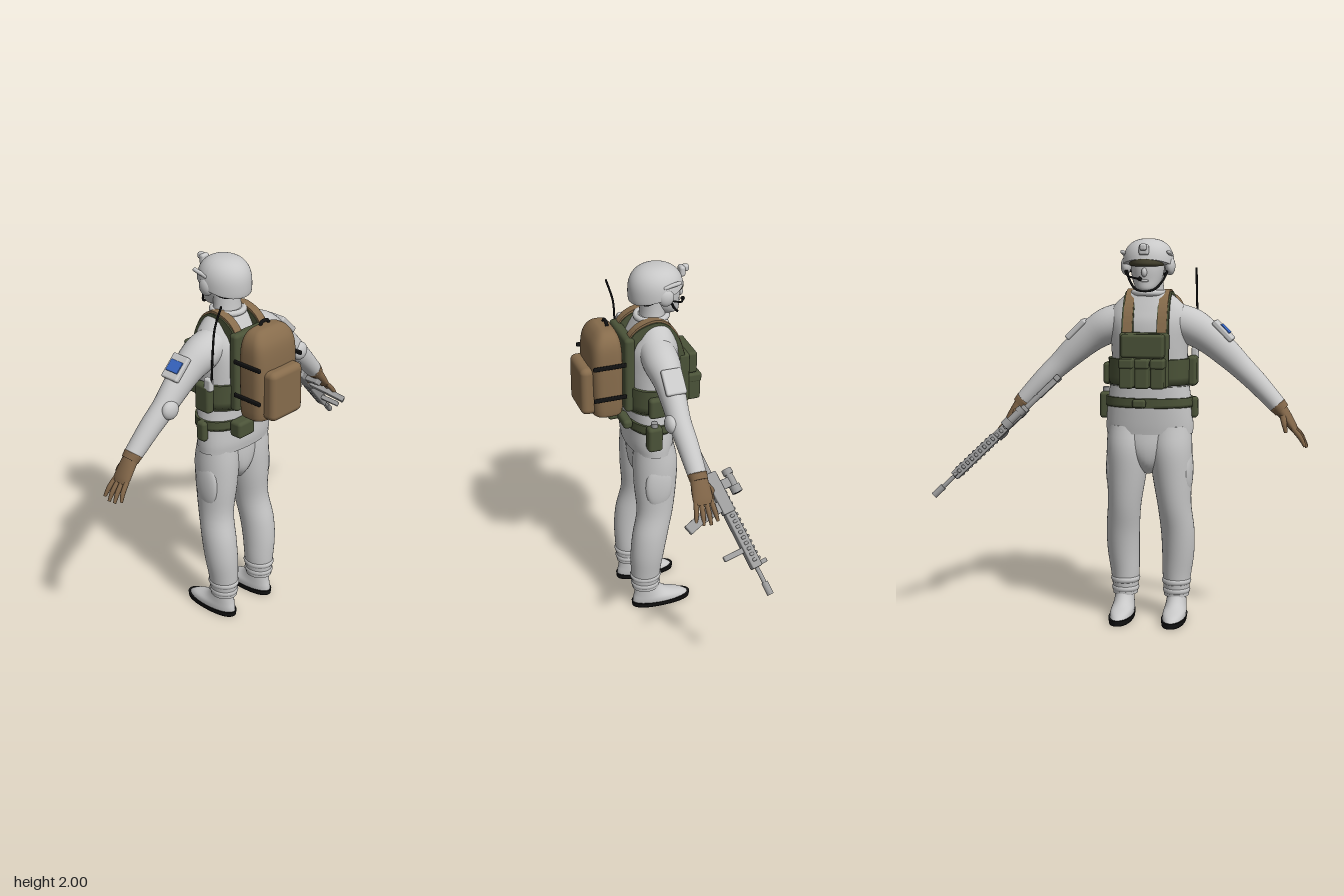
import * as THREE from 'three';
import { RoundedBoxGeometry } from 'three/addons/geometries/RoundedBoxGeometry.js';

const V = (x, y, z) => new THREE.Vector3(x, y, z);

// Smooth skin over rings [x, y, z, halfWidth, halfDepth]; power < 1 squares the section.
function loft(rings, power = 1, n = 32) {
  const centres = new THREE.CatmullRomCurve3(rings.map(r => V(r[0], r[1], r[2])), false, 'catmullrom');
  const sizes = new THREE.CatmullRomCurve3(rings.map(r => V(r[3], r[4], 0)), false, 'catmullrom');
  const steps = (rings.length - 1) * 4, list = [];
  for (let i = 0; i <= steps; i++) {
    const t = centres.getTangent(i / steps);
    const s = sizes.getPoint(i / steps);
    list.push({ c: centres.getPoint(i / steps), u: V(t.y, -t.x, 0).normalize(), a: s.x, b: s.y });
  }
  const first = list[0], last = list[steps];
  const all = [{ ...first, a: 0, b: 0 }, first, ...list, last, { ...last, a: 0, b: 0 }];
  const pos = [], index = [];
  const bend = v => Math.sign(v) * Math.pow(Math.abs(v), power);
  all.forEach(({ c, u, a, b }, i) => {
    for (let j = 0; j < n; j++) {
      const q = j / n * Math.PI * 2, w = a * bend(Math.cos(q));
      pos.push(c.x + u.x * w, c.y + u.y * w, c.z + b * bend(Math.sin(q)));
      if (i === all.length - 1) continue;
      const p = i * n + j, r = i * n + (j + 1) % n;
      index.push(p, p + n, r, r, p + n, r + n);
    }
  });
  const g = new THREE.BufferGeometry();
  g.setAttribute('position', new THREE.Float32BufferAttribute(pos, 3));
  g.setIndex(index);
  g.computeVertexNormals();
  return g;
}

const tube = (r, ...pts) => new THREE.TubeGeometry(new THREE.CatmullRomCurve3(pts.map(p => V(...p))), 20, r, 8);

// Flat strap following a side outline of [z, y] points.
function strapGeometry(points, thick, width) {
  const outer = new THREE.SplineCurve(points.map(p => new THREE.Vector2(...p))).getPoints(28);
  const mid = new THREE.Vector2(-0.06, 1.5);
  const inner = outer.map(p => p.clone().sub(mid).setLength(p.distanceTo(mid) - thick).add(mid)).reverse();
  const g = new THREE.ExtrudeGeometry(new THREE.Shape([...outer, ...inner]), { depth: width, bevelEnabled: false });
  return g.translate(0, 0, -width / 2).rotateY(-Math.PI / 2);
}

// Flat-topped dome cut by a rim that rises to the front.
function helmetGeometry() {
  const g = new THREE.SphereGeometry(1, 48, 40), p = g.attributes.position;
  for (let i = 0; i < p.count; i++) {
    const y = p.getY(i), r = Math.hypot(p.getX(i), p.getZ(i));
    const k = 1 / Math.pow(Math.pow(r, 2.5) + Math.pow(Math.abs(y), 2.5), 0.4);
    const z = p.getZ(i) * k * .143;
    p.setXYZ(i, p.getX(i) * k * .131, Math.max(y * k * .138, -.007 - .3 * z), z);
  }
  g.computeVertexNormals();
  return g;
}

export function createModel() {
  const mat = (name, color) => Object.assign(new THREE.MeshStandardMaterial({ color }), { name });
  const cloth = mat('pale grey', 0xc8c8c8), metal = mat('gun grey', 0x9b9b9b), tan = mat('tan', 0x876c4c);
  const olive = mat('olive', 0x4b5338), black = mat('black', 0x121212), blue = mat('blue', 0x3868c6);
  const lens = mat('dark lens', 0x45422f), glove = mat('glove brown', 0x7f6447);
  black.side = THREE.DoubleSide;

  const model = new THREE.Group();
  const body = new THREE.Group();
  body.name = 'soldier';
  body.position.x = -0.137;
  model.add(body);

  const add = (name, geometry, material, parent = body, x = 0, y = 0, z = 0) => {
    const m = new THREE.Mesh(geometry, material);
    m.name = name;
    m.position.set(x, y, z);
    parent.add(m);
    return m;
  };
  const box = (name, material, x, y, z, w, h, d, r = 0.012, parent = body) =>
    add(name, new RoundedBoxGeometry(w, h, d, 3, Math.min(r, w / 2.1, h / 2.1, d / 2.1)), material, parent, x, y, z);

  // Jacket, neck and head
  add('jacket', loft([[0, 1.0, -.045, .228, .118], [0, 1.06, -.045, .228, .125], [0, 1.17, -.05, .218, .128],
    [0, 1.33, -.05, .198, .135], [0, 1.46, -.055, .2, .145], [0, 1.57, -.06, .212, .138], [0, 1.64, -.065, .195, .112],
    [0, 1.7, -.07, .14, .085], [0, 1.735, -.075, .09, .068]], 0.9), cloth);
  add('trouserSeat', loft([[0, 1.03, -.05, .19, .105], [0, .93, -.055, .15, .112], [0, .85, -.055, .085, .1],
    [0, .79, -.055, .025, .06]]), cloth);
  add('neck', loft([[0, 1.66, -.075, .1, .075], [0, 1.74, -.08, .077, .066], [0, 1.86, -.09, .075, .068]]), cloth);
  add('collar', new THREE.TorusGeometry(.08, .016, 10, 32).rotateX(Math.PI / 2), cloth, body, 0, 1.725, -.075);
  add('head', loft([[0, 1.735, -.17, .03, .035], [0, 1.75, -.16, .052, .06], [0, 1.79, -.135, .073, .086],
    [0, 1.85, -.12, .085, .106], [0, 1.93, -.11, .088, .108]]), cloth);
  add('nose', new THREE.SphereGeometry(.018, 12, 10).scale(.8, 1.3, 1), cloth, body, 0, 1.832, -.228);
  add('lips', new THREE.SphereGeometry(.02, 12, 8).scale(1.1, .4, .6), cloth, body, 0, 1.79, -.216);
  add('goggles', loft([[0, 1.862, -.14, .084, .095], [0, 1.875, -.14, .09, .104], [0, 1.898, -.14, .09, .1]]), lens);

  // Helmet and headset
  add('helmet', helmetGeometry(), cloth, body, 0, 1.862, -.097);
  box('helmetMount', cloth, 0, 1.945, -.237, .05, .055, .03);
  box('helmetMountArm', cloth, 0, 1.958, -.257, .034, .035, .035);
  for (const s of [-1, 1]) {
    box('helmetRail', cloth, s * .118, 1.925, -.145, .022, .02, .1).rotation.x = .2;
    add('earCup', new THREE.SphereGeometry(1, 20, 16).scale(.026, .047, .042), cloth, body, s * .114, 1.862, -.113);
    add('chinStrap', tube(.006, [s * .112, 1.86, -.13], [s * .085, 1.79, -.165], [s * .045, 1.745, -.2], [0, 1.737, -.208]), black);
    add('napeStrap', tube(.006, [s * .118, 1.86, -.08], [s * .1, 1.83, -.03], [s * .06, 1.815, -.012], [0, 1.812, -.008]), black);
  }
  add('microphoneBoom', tube(.005, [.115, 1.845, -.13], [.09, 1.815, -.2], [.03, 1.8, -.238]), black);
  add('microphone', new THREE.SphereGeometry(.011, 10, 8), black, body, .02, 1.8, -.238);

  // Limbs, mirrored
  for (const s of [-1, 1]) {
    const side = rings => rings.map(([x, ...r]) => [s * x, ...r]);
    add('sleeve', loft(side([[.12, 1.59, -.055, .088, .09], [.22, 1.552, -.055, .094, .093], [.31, 1.495, -.058, .082, .075],
      [.4, 1.42, -.058, .072, .064], [.475, 1.35, -.058, .062, .058], [.56, 1.27, -.068, .055, .055],
      [.67, 1.155, -.08, .045, .048]])), cloth);
    add('elbowPad', new THREE.SphereGeometry(.05, 20, 14).scale(1, 1, .65), cloth, body, s * .475, 1.352, -.012);
    const patch = new THREE.Group();
    patch.name = 'armPatch';
    patch.position.set(s * .383, 1.533, -.058);
    patch.rotation.z = -s * Math.PI / 4;
    body.add(patch);
    box('patchPad', cloth, 0, 0, 0, .135, .03, .108, .01, patch);
    if (s < 0) box('bluePatch', blue, 0, .016, 0, .062, .008, .08, .003, patch);

    // Gloved hand
    add('gloveCuff', loft(side([[.663, 1.163, -.08, .046, .05], [.688, 1.135, -.082, .041, .046]])), glove);
    add('palm', loft(side([[.67, 1.155, -.082, .036, .042], [.705, 1.11, -.083, .03, .048], [.74, 1.06, -.083, .023, .052],
      [.757, 1.035, -.083, .016, .048]])), glove);
    for (let i = 0; i < 4; i++) {
      const z = -.045 - i * .026, end = -.025 - i * .038, len = [0.82, .97, 1, .9][i];
      add('finger', loft(side([[.745, 1.05, z, .013, .013], [.745 + .045 * len, 1.05 - .05 * len, (z + end) / 2, .013, .0125],
        [.745 + .073 * len, 1.05 - .1 * len, end, .008, .008]]), 1, 10), glove);
    }
    add('thumb', loft(side([[.695, 1.115, -.115, .018, .018], [.705, 1.075, -.145, .014, .014], [.715, 1.03, -.155, .009, .009]]), 1, 10), glove);

    // Trousers and shoe
    add('trouserLeg', loft(side([[.11, 1.04, -.05, .108, .105], [.113, .92, -.057, .112, .12], [.121, .78, -.055, .103, .115],
      [.133, .62, -.05, .088, .1], [.146, .48, -.02, .088, .098], [.147, .36, -.003, .085, .093], [.14, .25, .004, .077, .084],
      [.138, .17, .005, .069, .078], [.138, .12, .005, .066, .075]])), cloth);
    for (const [y, r] of [[.2, .065], [.15, .06]])
      add('cuffFold', new THREE.TorusGeometry(r, .013, 8, 28).rotateX(Math.PI / 2).scale(1, 1.4, 1.13), cloth, body, s * .138, y, .005);
    add('cargoPocket', new THREE.SphereGeometry(1, 20, 16).scale(.03, .14, .075), cloth, body, s * .2, .81, -.05);
    add('shoe', loft(side([[.14, .022, -.085, .06, .166], [.14, .05, -.066, .06, .144], [.14, .08, -.025, .054, .096],
      [.14, .13, -.002, .05, .067], [.138, .2, .002, .052, .06]])), cloth);
    add('sole', loft(side([[.14, 0, -.085, .06, .168], [.14, .028, -.085, .064, .171]]), .88), black);
  }

  // Load vest
  add('vestBand', loft([[0, 1.25, -.05, .212, .148], [0, 1.39, -.052, .214, .154]], .9), olive);
  box('vestBackPanel', olive, 0, 1.46, .083, .27, .42, .055, .02);
  box('vestFrontPanel', olive, 0, 1.39, -.215, .25, .28, .06, .015);
  box('chestPouch', olive, 0, 1.465, -.262, .22, .12, .06, .015);
  for (const x of [-.08, 0, .08]) {
    box('magazinePouch', olive, x, 1.325, -.272, .07, .145, .075, .012);
    box('pouchFlap', olive, x, 1.378, -.276, .074, .05, .078, .012);
  }
  const line = [[.11, 1.52], [.095, 1.635], [.04, 1.71], [-.06, 1.742], [-.135, 1.71], [-.19, 1.625], [-.225, 1.5]];
  for (const s of [-1, 1]) {
    add('vestStrap', strapGeometry(line, .05, .06), olive, body, s * .09, -.01, 0);
    add('shoulderStrap', strapGeometry(line, .02, .047), tan, body, s * .088, .002, 0);
  }

  // Belt and pouches: x, y, z, width, height, depth
  add('belt', loft([[0, 1.14, -.05, .229, .141], [0, 1.19, -.05, .227, .141]], .9), olive);
  [[-.095, 1.16, .11, .115, .088, .075], [.085, 1.185, .1, .13, .05, .05], [.238, 1.135, -.01, .06, .14, .08],
    [.222, 1.305, -.03, .045, .115, .09], [-.222, 1.325, -.03, .05, .155, .1], [-.232, 1.135, -.04, .04, .11, .06],
    [.03, 1.165, -.2, .07, .045, .03]]
    .forEach(p => box('beltPouch', olive, ...p, .018));
  add('canteenCap', new THREE.CylinderGeometry(.018, .018, .025, 14), metal, body, .238, 1.215, -.01);
  box('radio', cloth, -.228, 1.41, .01, .035, .07, .05);
  add('antenna', tube(.0055, [-.23, 1.42, .03], [-.233, 1.6, .046], [-.228, 1.72, .056], [-.22, 1.848, .095]), black);

  // Backpack
  const pack = new THREE.Group();
  pack.name = 'backpack';
  body.add(pack);
  add('packBody', loft([[0, 1.245, .195, .125, .065], [0, 1.265, .195, .142, .084], [0, 1.42, .197, .147, .088],
    [0, 1.55, .197, .147, .088], [0, 1.635, .195, .14, .08], [0, 1.685, .19, .117, .06], [0, 1.71, .187, .08, .035],
    [0, 1.715, .187, .02, .01]], .55, 40), tan, pack);
  box('packPocket', tan, 0, 1.39, .292, .222, .265, .09, .032, pack);
  for (const y of [1.36, 1.54]) {
    for (const s of [-1, 1]) box('packStrap', black, s * .15, y, .197, .014, .022, .175, .005, pack);
  }
  add('packHandle', tube(.009, [-.03, 1.712, .172], [-.02, 1.728, .172], [.02, 1.728, .172], [.03, 1.712, .172]), black, pack);

  // Rifle, built along its own x axis from butt to muzzle
  const rifle = new THREE.Group();
  rifle.name = 'rifle';
  const butt = V(.33, 1.29, -.1), ax = V(.96, .67, -.31).sub(butt).normalize();
  const az = ax.clone().cross(V(0, 0, -1)).normalize(), ay = az.clone().cross(ax);
  rifle.quaternion.setFromRotationMatrix(new THREE.Matrix4().makeBasis(ax, ay, az));
  rifle.position.copy(butt);
  model.add(rifle);
  const gun = (name, x, y, w, h, d, tilt = 0) => { box(name, metal, x, y, 0, w, h, d, .006, rifle).rotation.z = tilt; };
  const rod = (name, x0, x1, y, r, material = metal) =>
    add(name, new THREE.CylinderGeometry(r, r, x1 - x0, 16).rotateZ(Math.PI / 2), material, rifle, (x0 + x1) / 2, y, 0);
  gun('buttPlate', .02, -.025, .03, .11, .03);
  gun('stock', .09, -.015, .13, .055, .03);
  rod('bufferTube', .1, .26, 0, .015);
  gun('receiver', .35, 0, .22, .065, .042);
  gun('pistolGrip', .3, -.075, .04, .1, .03, -.35);
  gun('magazineTop', .42, -.085, .055, .13, .03, .12);
  gun('magazineBottom', .438, -.185, .052, .1, .03, .28);
  gun('handguard', .61, 0, .3, .054, .048);
  for (let i = 0; i < 15; i++) {
    gun('railTooth', .3 + i * .03, .034, .016, .014, .022);
    if (i > 5) gun('sideRailTooth', .3 + i * .03, 0, .016, .022, .06);
  }
  gun('foreGrip', .655, -.08, .028, .11, .026);
  rod('barrel', .74, .9, 0, .011);
  rod('muzzle', .84, .908, 0, .017);
  gun('frontSight', .745, .035, .022, .06, .018);
  gun('scopeMount', .32, .055, .05, .05, .025);
  rod('scopeTube', .265, .375, .092, .02);
  rod('scopeFront', .345, .385, .092, .028);
  rod('scopeRear', .255, .285, .092, .026);
  rod('scopeLens', .384, .387, .092, .022, black);

  return model;
}
